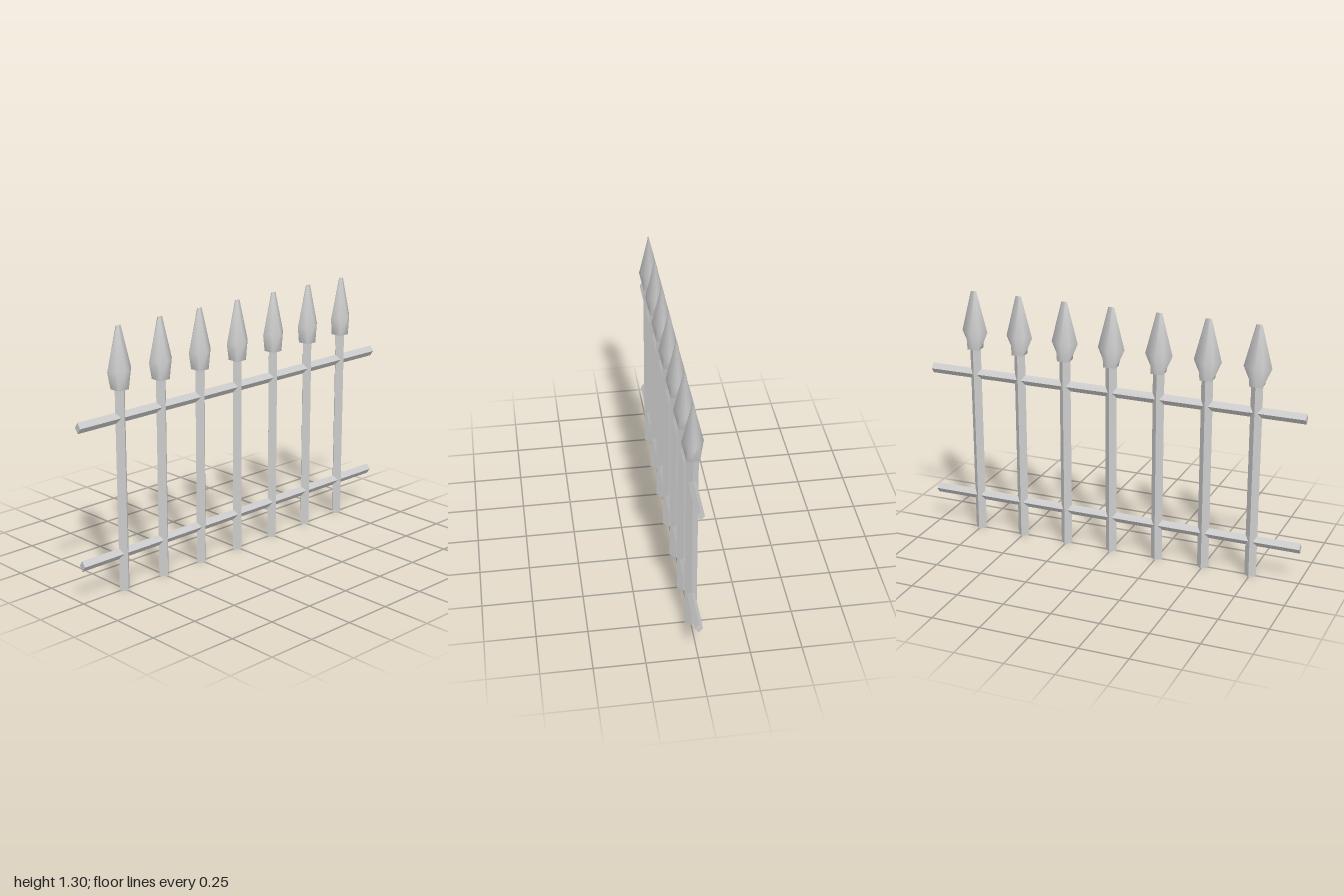
import * as THREE from 'three';

const flat = new THREE.MeshStandardMaterial({ color: 0xcccccc, flatShading: true });
const smooth = new THREE.MeshStandardMaterial({ color: 0xcccccc });

// Eight-point ring: side points at (+-a, 0) and (0, +-b), corner points at (+-c, +-d)
function ring(y, a, b, c, d) {
  return [[a, 0], [c, d], [0, b], [-c, d], [-a, 0], [-c, -d], [0, -b], [c, -d]]
    .map(([x, z]) => [x, y, z]);
}

// Loft through the rings, closed at both ends
function loft(rings) {
  const n = rings[0].length;
  const points = rings.flat();
  const index = [];
  for (let r = 0; r < rings.length - 1; r++) {
    for (let i = 0; i < n; i++) {
      const a = r * n + i, b = r * n + (i + 1) % n;
      index.push(a, a + n, b, b, a + n, b + n);
    }
  }
  // Caps have their own vertices so their edges stay sharp
  const low = points.length;
  points.push(...rings[0]);
  const high = points.length;
  points.push(...rings[rings.length - 1]);
  for (let i = 1; i < n - 1; i++) {
    index.push(low, low + i, low + i + 1);
    index.push(high, high + i + 1, high + i);
  }
  const geometry = new THREE.BufferGeometry();
  geometry.setAttribute('position', new THREE.Float32BufferAttribute(points.flat(), 3));
  geometry.setIndex(index);
  geometry.computeVertexNormals();
  return geometry;
}

export function createModel() {
  const model = new THREE.Group();
  model.name = 'fence';

  const add = (name, geometry, material, x, y) => {
    const mesh = new THREE.Mesh(geometry, material);
    mesh.name = name;
    mesh.position.set(x, y, 0);
    model.add(mesh);
  };

  // Square bar turned so that an edge faces the front
  const post = new THREE.CylinderGeometry(0.03, 0.03, 1, 4);

  // Spear head: square foot, wide diamond belly, narrow ridge on top
  const head = loft([
    ring(0, 0.03, 0.03, 0.03, 0.03),
    ring(0.092, 0.071, 0.051, 0.037, 0.027),
    ring(0.303, 0.015, 0.001, 0.008, 0.0006),
  ]);

  // Flattened diamond bar along x
  const rail = new THREE.CylinderGeometry(0.027, 0.027, 2, 4);
  rail.rotateZ(Math.PI / 2);
  rail.scale(1, 1, 0.7);

  for (let i = -3; i <= 3; i++) {
    add('post', post, flat, i * 0.25, 0.5);
    add('spearHead', head, smooth, i * 0.25, 1);
  }
  add('lowerRail', rail, flat, 0, 0.19);
  add('upperRail', rail, flat, 0, 0.866);

  return model;
}
